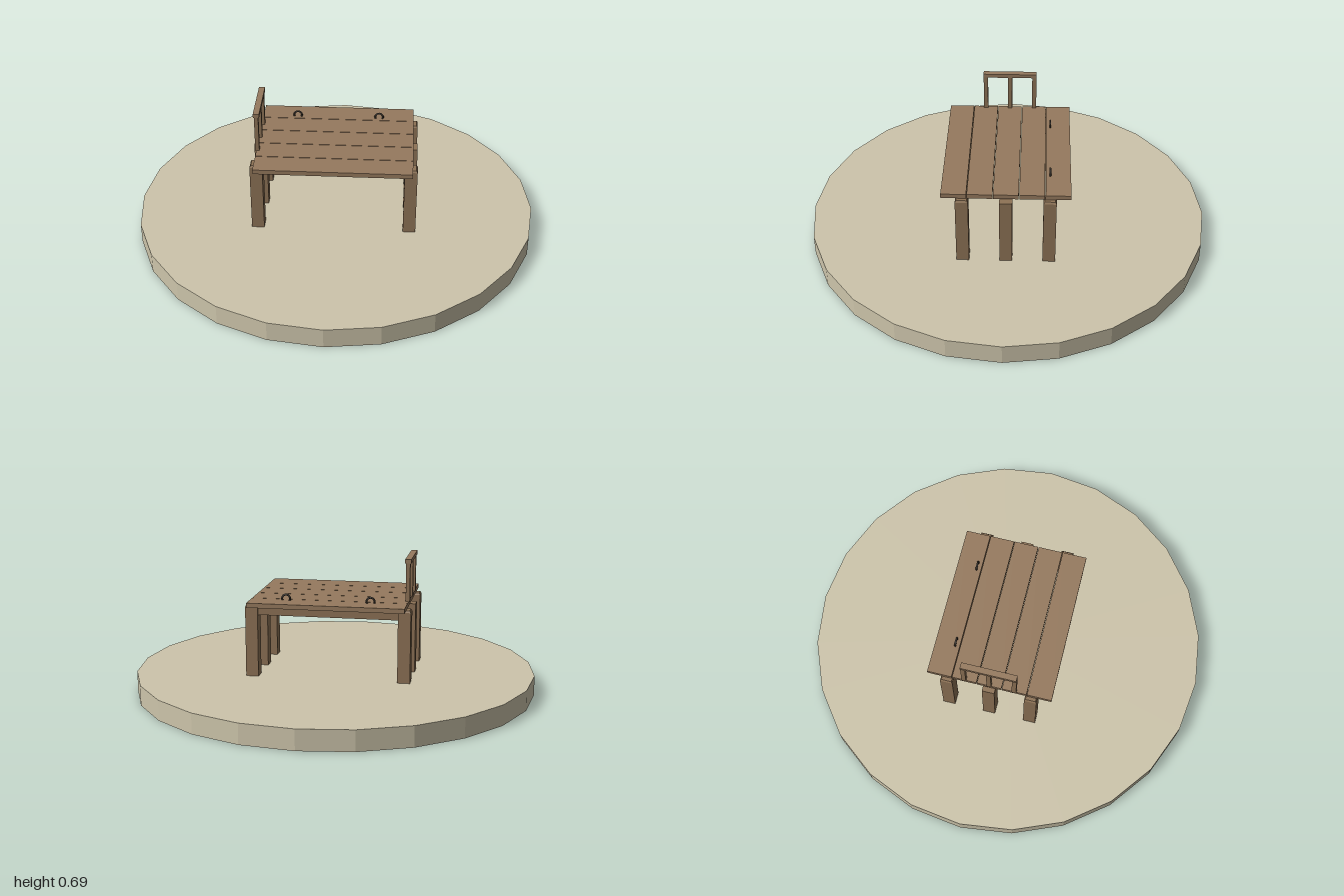
import * as THREE from 'three';

export function createModel() {
  const model = new THREE.Group();
  const mat = (name, color) => {
    const m = new THREE.MeshStandardMaterial({ color });
    m.name = name;
    return m;
  };
  const sand = mat('sand', 0xcdc5ab);
  const plankWood = mat('plank wood', 0x967a5e);
  const postWood = mat('post wood', 0x8e7356);
  const iron = mat('dark iron', 0x3a332c);
  sand.flatShading = true;
  postWood.flatShading = true;

  const add = (name, geometry, material, x, y, z, parent = model) => {
    const mesh = new THREE.Mesh(geometry, material);
    mesh.name = name;
    mesh.position.set(x, y, z);
    parent.add(mesh);
    return mesh;
  };
  const box = (name, w, h, d, material, x, y, z, parent) =>
    add(name, new THREE.BoxGeometry(w, h, d), material, x, y, z, parent);

  // Round ground slab
  add('ground', new THREE.CylinderGeometry(1, 1, 0.1, 24), sand, 0, 0.05, 0);

  // Three rows of posts, each pair carrying a joist
  const frame = new THREE.Group();
  frame.name = 'frame';
  model.add(frame);
  for (const z of [-0.21, 0, 0.21]) {
    for (const side of [-1, 1]) {
      box('post', 0.062, 0.35, 0.062, postWood, side * 0.376, 0.275, z, frame);
      if (z !== 0) {
        // Bevelled post top
        const cap = new THREE.CylinderGeometry(0.05 / Math.SQRT2, 0.062 / Math.SQRT2, 0.01, 4);
        cap.rotateY(Math.PI / 4);
        add('postTop', cap, postWood, side * 0.376, 0.455, z, frame);
      }
    }
    box('joist', 0.74, 0.052, 0.045, postWood, 0, 0.436, z, frame);
  }

  // Deck of five planks with narrow gaps
  const deck = new THREE.Group();
  deck.name = 'deck';
  model.add(deck);
  for (let i = -2; i <= 2; i++) {
    box('plank', 0.768, 0.023, 0.1215, plankWood, 0, 0.4725, i * 0.1245, deck);
  }

  // Railing at one end
  const railing = new THREE.Group();
  railing.name = 'railing';
  model.add(railing);
  for (const z of [-0.125, 0, 0.125]) {
    box('baluster', 0.02, 0.19, 0.022, postWood, -0.379, 0.577, z, railing);
  }
  box('handrail', 0.03, 0.02, 0.272, plankWood, -0.379, 0.68, 0, railing);

  // Mooring rings standing on the deck
  for (const side of [-1, 1]) {
    add('mooringRing', new THREE.TorusGeometry(0.02, 0.005, 6, 16), iron, side * 0.208, 0.492, -0.21);
  }
  return model;
}
